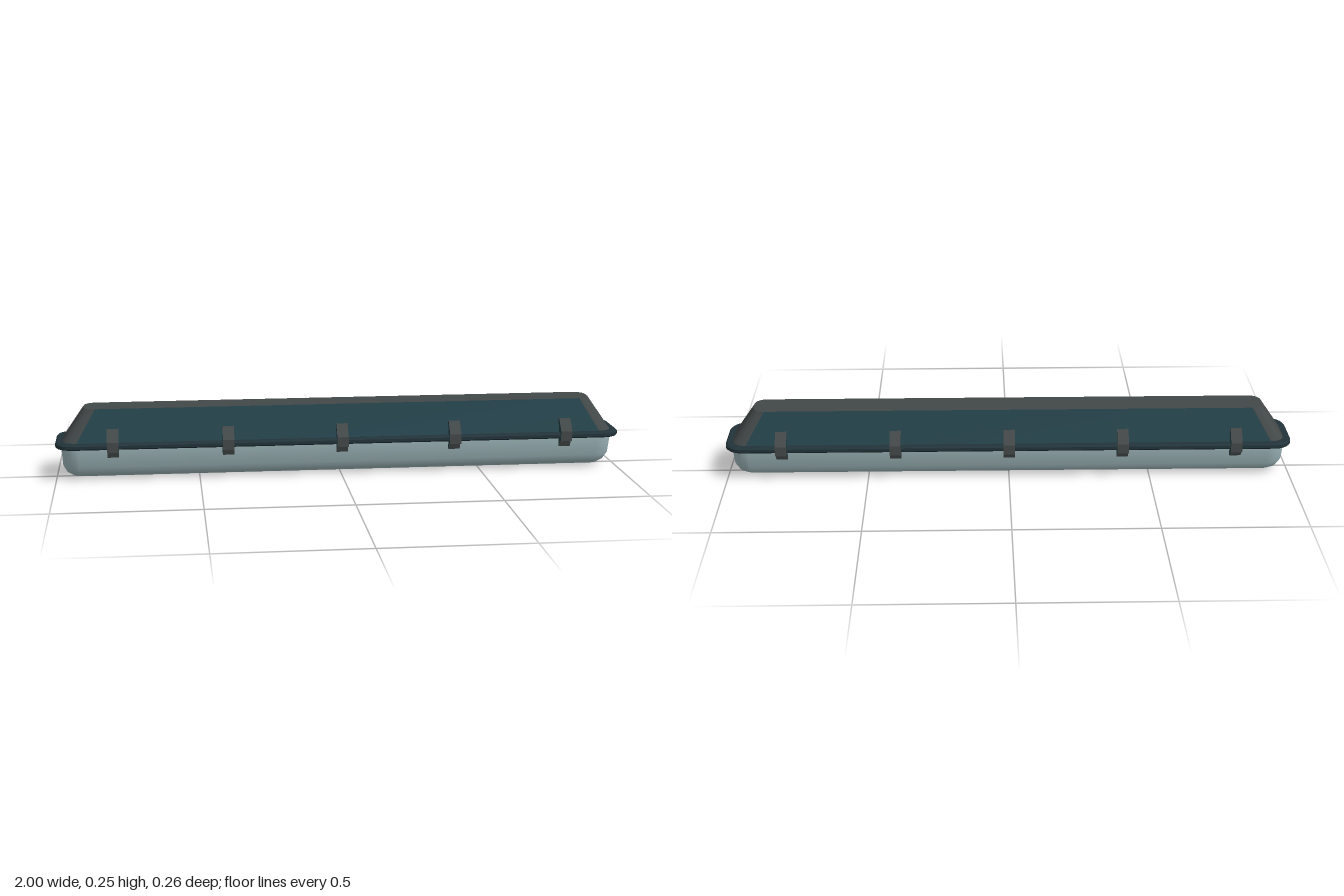
import * as THREE from 'three';
import { toCreasedNormals } from 'three/addons/utils/BufferGeometryUtils.js';

const mat = (name, color, side = THREE.FrontSide) =>
  Object.assign(new THREE.MeshStandardMaterial({ color, side }), { name });

const ARC = 6; // segments per rounded corner

// Rounded rectangle ring in the xz plane
function ring([y, hx, hz, r]) {
  const pts = [];
  const signs = [[1, 1], [-1, 1], [-1, -1], [1, -1]];
  signs.forEach(([sx, sz], c) => {
    for (let i = 0; i <= ARC; i++) {
      const a = (c + i / ARC) * Math.PI / 2;
      pts.push(new THREE.Vector3(
        sx * (hx - r) + r * Math.cos(a), y, sz * (hz - r) + r * Math.sin(a)));
    }
  });
  return pts;
}

// Closed loft through [y, halfX, halfZ, radius] levels, listed upwards.
// Group 0 holds the ends and caps, group 1 the two long sides.
function loft(levels, crease) {
  const rings = levels.map(ring);
  const n = rings[0].length;
  const ends = [], sides = [];
  for (let k = 0; k < rings.length - 1; k++) {
    for (let i = 0; i < n; i++) {
      const j = (i + 1) % n;
      const a = rings[k][i], b = rings[k][j], c = rings[k + 1][j], d = rings[k + 1][i];
      const long = i === ARC || i === 3 * ARC + 2;
      (long ? sides : ends).push(a, d, b, b, d, c);
    }
  }
  const low = rings[0], high = rings[rings.length - 1];
  const lowMid = new THREE.Vector3(0, low[0].y, 0);
  const highMid = new THREE.Vector3(0, high[0].y, 0);
  for (let i = 0; i < n; i++) {
    const j = (i + 1) % n;
    ends.push(lowMid, low[i], low[j], highMid, high[j], high[i]);
  }
  const geo = new THREE.BufferGeometry().setFromPoints([...ends, ...sides]);
  geo.addGroup(0, ends.length, 0);
  geo.addGroup(ends.length, sides.length, 1);
  return toCreasedNormals(geo, crease);
}

export function createModel() {
  const grey = mat('charcoal grey', 0x434848);
  const teal = mat('dark teal', 0x25424b);
  const dark = mat('seal dark', 0x22343a);
  const clear = mat('pale diffuser', 0xafcace, THREE.DoubleSide);

  const model = new THREE.Group();
  model.name = 'tubeLight';
  const add = (name, geo, material) => {
    const mesh = new THREE.Mesh(geo, material);
    mesh.name = name;
    model.add(mesh);
    return mesh;
  };

  // Tapered housing: grey top and ends, teal long sides
  add('housing', loft([
    [0.13, 0.98, 0.102, 0.05],
    [0.25, 0.9, 0.058, 0.04],
  ], 0.6), [grey, teal]);

  // Flange around the joint, with a bevelled top
  add('flange', loft([
    [0.118, 0.996, 0.119, 0.06],
    [0.122, 1.0, 0.122, 0.062],
    [0.132, 1.0, 0.122, 0.062],
    [0.138, 0.994, 0.116, 0.058],
  ], 0.5), [dark, dark]);

  // Rounded diffuser underneath
  add('diffuser', loft([
    [0, 0.92, 0.001, 0.001],
    [0.007, 0.945, 0.038, 0.036],
    [0.021, 0.965, 0.063, 0.055],
    [0.047, 0.977, 0.081, 0.06],
    [0.121, 0.982, 0.098, 0.06],
  ], 0.8), [clear, clear]);

  // Five latches along each long side
  const profile = new THREE.Shape([
    [0.085, 0.185], [0.085, 0.13], [0.094, 0.086], [0.101, 0.086], [0.109, 0.108],
    [0.13, 0.11], [0.13, 0.145], [0.096, 0.185],
  ].map(([x, y]) => new THREE.Vector2(x, y)));
  const clip = new THREE.ExtrudeGeometry(profile, { depth: 0.04, bevelEnabled: false });
  clip.translate(0, 0, -0.02);
  for (const side of [1, -1]) {
    for (let i = -2; i <= 2; i++) {
      const mesh = add(side > 0 ? 'frontLatch' : 'backLatch', clip, [teal, grey]);
      mesh.rotation.y = -side * Math.PI / 2;
      mesh.position.x = i * 0.4;
    }
  }
  return model;
}
